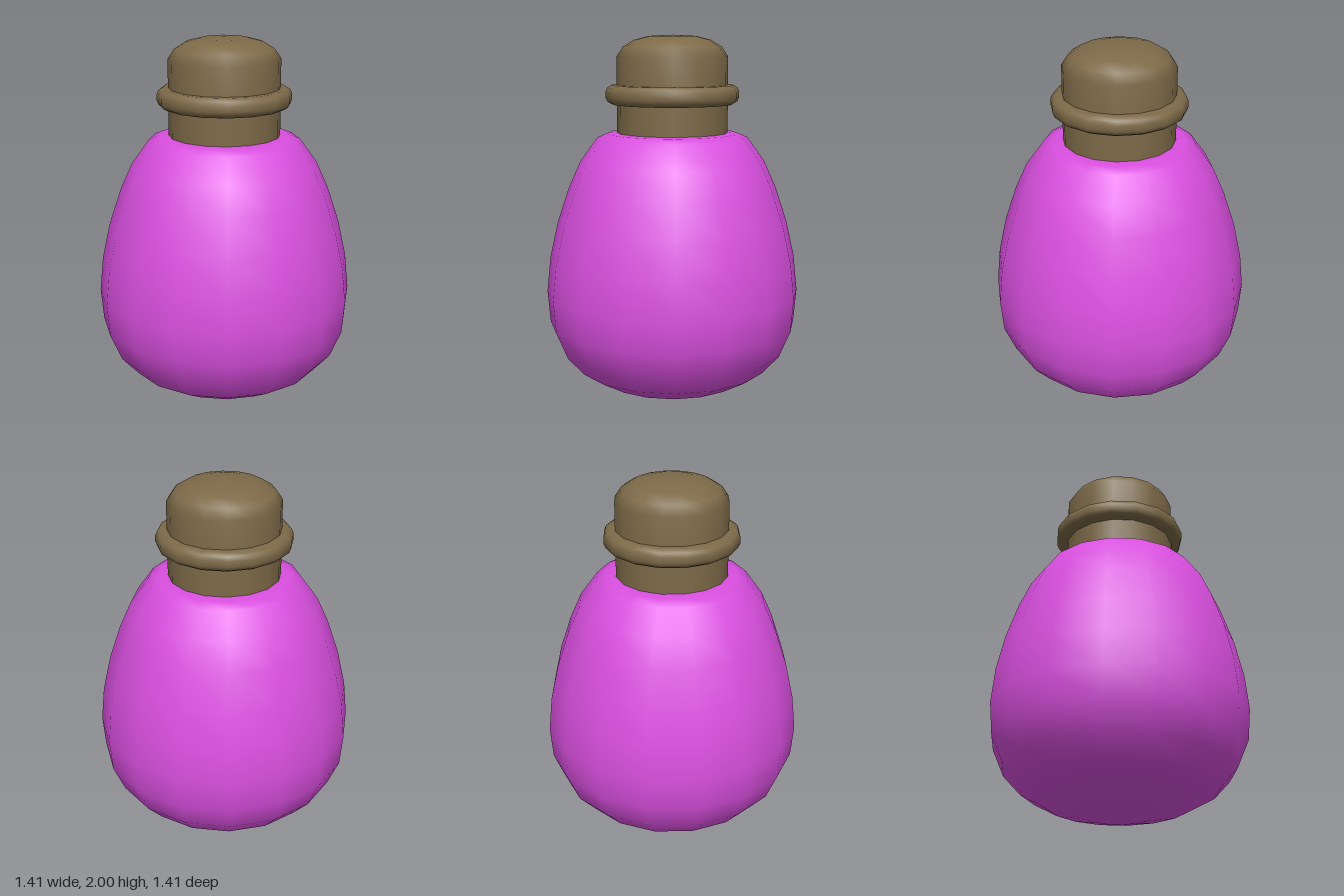
import * as THREE from 'three';

const SIDES = 16;

// Smooth-shaded turned part from [radius, height] pairs, listed bottom to top
function turned(name, profile, color) {
  const points = profile.map(([r, y]) => new THREE.Vector2(r, y));
  const mesh = new THREE.Mesh(
    new THREE.LatheGeometry(points, SIDES),
    new THREE.MeshStandardMaterial({ color, side: THREE.DoubleSide })
  );
  mesh.name = name;
  return mesh;
}

export function createModel() {
  const purple = 0xd94fdf, cork = 0x7d6a48;
  const group = new THREE.Group();
  group.name = 'potionBottle';

  // Pear-shaped bottle, closing inward at a flat shoulder
  group.add(turned('bottleBody', [
    [0, 0], [0.2, 0.02], [0.385, 0.065], [0.53, 0.145], [0.626, 0.25],
    [0.69, 0.4], [0.705, 0.575], [0.685, 0.77], [0.64, 0.97], [0.574, 1.167],
    [0.51, 1.31], [0.414, 1.443], [0.36, 1.466], [0.3, 1.47],
  ], purple));

  // Cork stopper with a domed top
  group.add(turned('stopper', [
    [0.305, 1.44], [0.305, 1.66], [0.305, 1.883], [0.27, 1.936],
    [0.21, 1.973], [0.127, 1.994], [0, 2],
  ], cork));

  // Rounded collar around the stopper
  group.add(turned('collar', [
    [0.295, 1.626], [0.335, 1.626], [0.358, 1.64], [0.367, 1.662],
    [0.367, 1.692], [0.358, 1.715], [0.335, 1.73], [0.295, 1.73],
  ], cork));

  return group;
}
